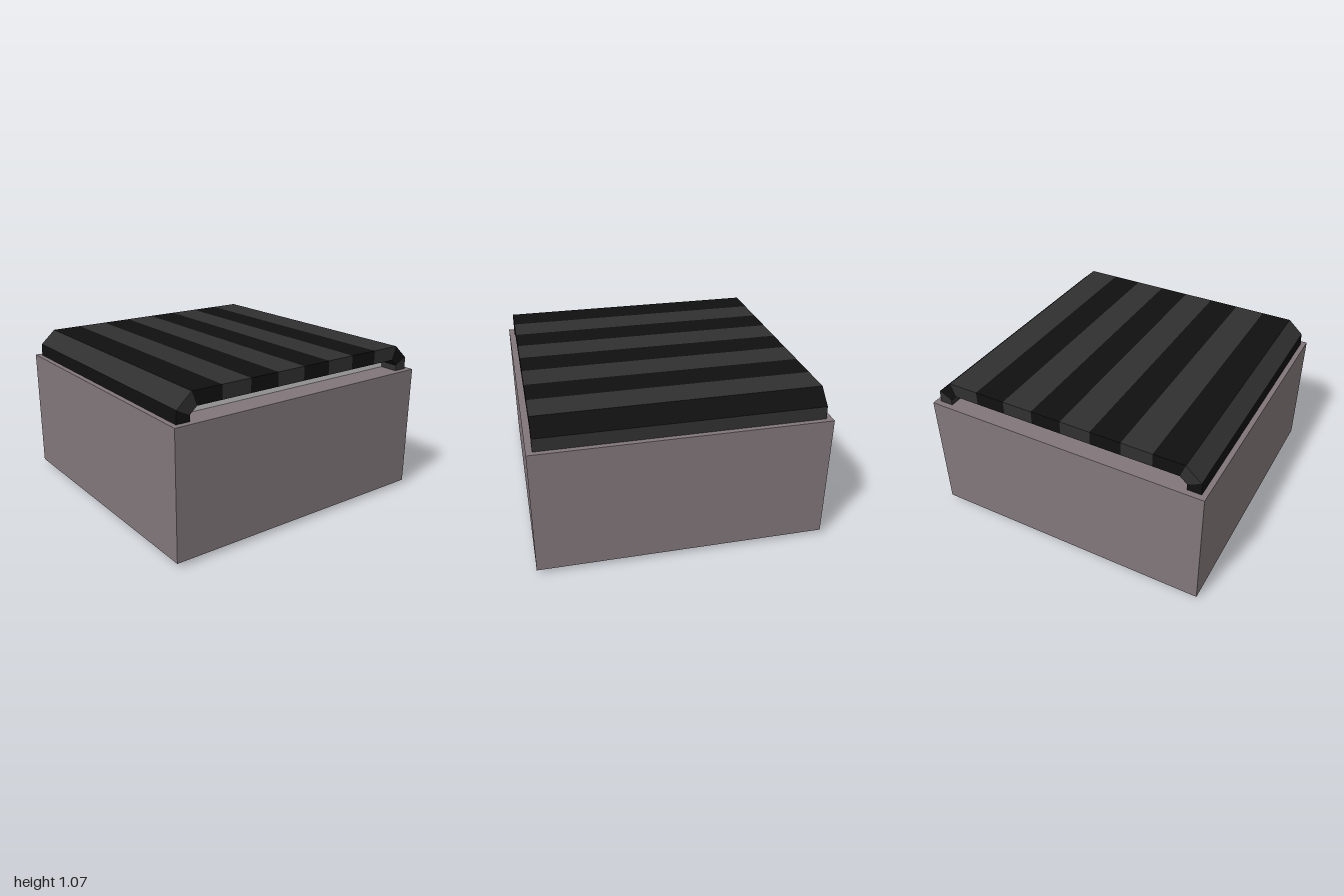
import * as THREE from 'three';

const material = (color) => new THREE.MeshStandardMaterial({ color, flatShading: true });

// Prism with a (z, y) outline, running along x and centred on x = 0
function prismAlongX(outline, width) {
  const shape = new THREE.Shape(outline.map(([z, y]) => new THREE.Vector2(z, y)));
  const geometry = new THREE.ExtrudeGeometry(shape, { depth: width, bevelEnabled: false });
  geometry.translate(0, 0, -width / 2);
  geometry.rotateY(-Math.PI / 2);
  return geometry;
}

export function createModel() {
  const model = new THREE.Group();
  model.name = 'slattedCrate';

  const add = (name, geometry, mat) => {
    const mesh = new THREE.Mesh(geometry, mat);
    mesh.name = name;
    model.add(mesh);
  };

  // Base: a box whose lowest edge tapers inward
  const base = new THREE.BoxGeometry(1.94, 0.89, 2, 1, 2, 1);
  base.translate(0, 0.445, 0);
  const p = base.attributes.position;
  for (let i = 0; i < p.count; i++) {
    const y = p.getY(i);
    if (y < 0.01) p.setXYZ(i, p.getX(i) * 0.945, 0, p.getZ(i) * 0.947);
    else if (y < 0.8) p.setY(i, 0.03);
  }
  base.computeVertexNormals();
  add('base', base, material(0x81777a));

  // Arched cover: matching outer and inner (z, y) stations from front to back
  const outer = [[0.965, 0.89], [0.96, 0.975], [0.855, 1.07]];
  const inner = [[0.87, 0.89], [0.87, 0.93], [0.82, 0.975]];
  for (let i = 1; i < 8; i++) {
    const z = 0.855 - i * 0.21375;
    outer.push([z, 1.07]);
    inner.push([z, 0.975]);
  }
  for (const list of [outer, inner]) {
    for (let i = 2; i >= 0; i--) list.push([-list[i][0], list[i][1]]);
  }

  // Slats alternate between two dark shades
  const shades = [material(0x101010), material(0x303030)];
  for (let i = 0; i < outer.length - 1; i++) {
    const outline = [outer[i], outer[i + 1], inner[i + 1], inner[i]];
    add(`slat${i + 1}`, prismAlongX(outline, 1.86), shades[i % 2]);
  }

  // Pale filling, set back beneath the cover
  add('filling', prismAlongX(inner, 1.6), material(0xcccccc));

  return model;
}
